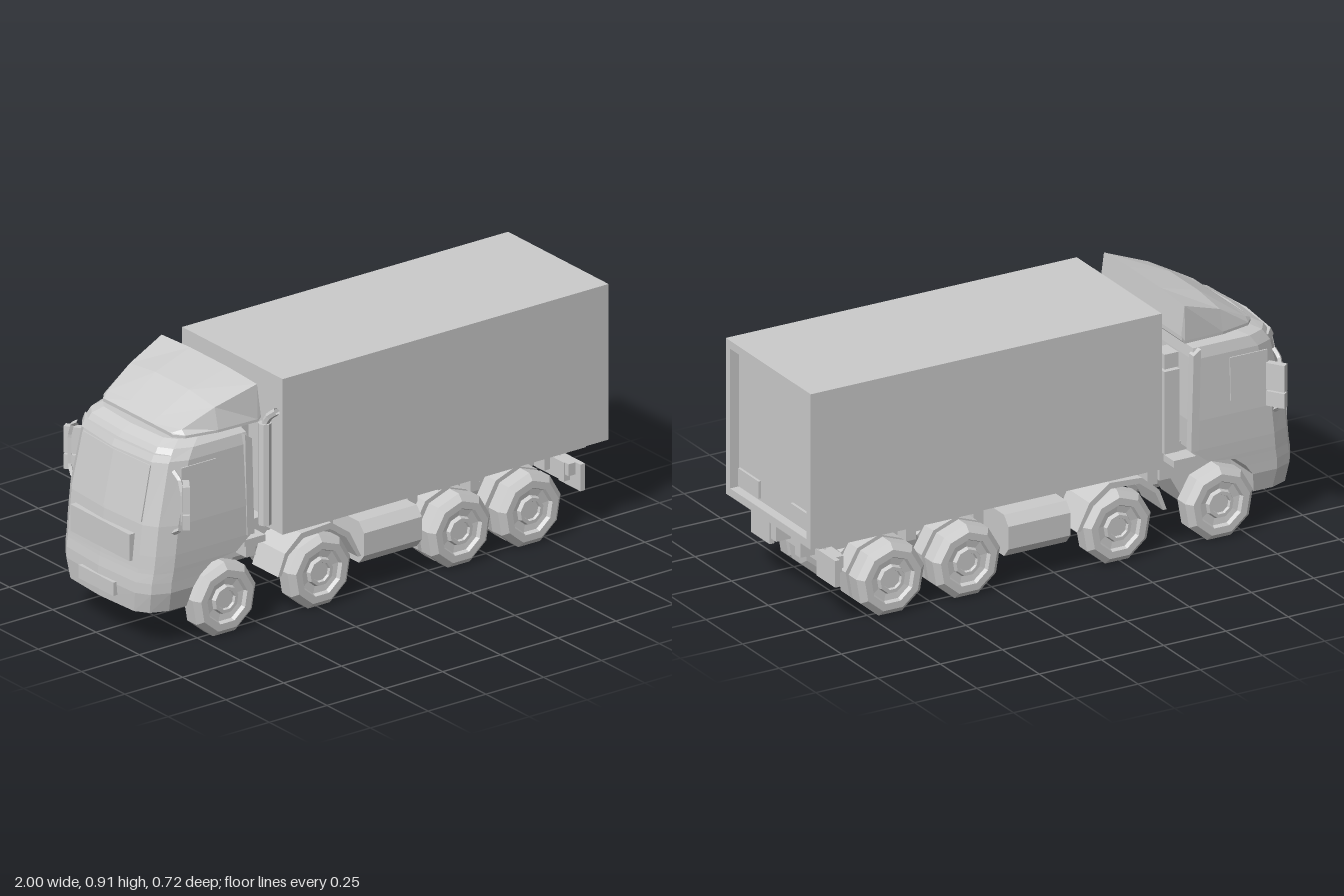
import * as THREE from 'three';

const mat = new THREE.MeshStandardMaterial({ color: 0xcccccc, flatShading: true });
const matTwo = new THREE.MeshStandardMaterial({ color: 0xcccccc, flatShading: true, side: THREE.DoubleSide });

// Closed solid through rings of [x, y, z] corners, turned outward by its signed volume.
function loft(rings) {
  const tris = [], n = rings[0].length;
  const v = rings.map(r => r.map(p => new THREE.Vector3(...p)));
  for (let i = 0; i + 1 < v.length; i++) {
    for (let j = 0; j < n; j++) {
      const k = (j + 1) % n;
      tris.push([v[i][j], v[i][k], v[i + 1][k]], [v[i][j], v[i + 1][k], v[i + 1][j]]);
    }
  }
  const cap = (ring, flip) => {
    const c = ring.reduce((s, p) => s.add(p), new THREE.Vector3()).divideScalar(n);
    ring.forEach((p, j) => {
      const q = ring[(j + 1) % n];
      tris.push(flip ? [c, q, p] : [c, p, q]);
    });
  };
  cap(v[0], true);
  cap(v[v.length - 1], false);
  const vol = tris.reduce((s, [a, b, c]) => s + a.dot(b.clone().cross(c)), 0);
  const pts = tris.flatMap(([a, b, c]) => (vol < 0 ? [a, c, b] : [a, b, c]));
  const g = new THREE.BufferGeometry().setFromPoints(pts);
  g.computeVertexNormals();
  return g;
}

// Profile of [x, y] corners swept from z0 to z1.
const sweepZ = (pts, z0, z1) => loft([z0, z1].map(z => pts.map(([x, y]) => [x, y, z])));
// Profile of [z, y] corners swept from x0 to x1.
const sweepX = (pts, x0, x1) => loft([x0, x1].map(x => pts.map(([z, y]) => [x, y, z])));

export function createModel() {
  const model = new THREE.Group();
  const add = (name, geo, parent = model, material = mat) => {
    const m = new THREE.Mesh(geo, material);
    m.name = name;
    parent.add(m);
    return m;
  };
  const box = (name, x0, x1, y0, y1, z0, z1, parent = model) => {
    const m = add(name, new THREE.BoxGeometry(x1 - x0, y1 - y0, z1 - z0), parent);
    m.position.set((x0 + x1) / 2, (y0 + y1) / 2, (z0 + z1) / 2);
    return m;
  };
  const pairBox = (name, x0, x1, y0, y1, z0, z1) => {
    box(name, x0, x1, y0, y1, z0, z1);
    box(name, x0, x1, y0, y1, -z1, -z0);
  };

  // Cab shell: height, front x, half width, back x; the lower back edge follows the wheel arch
  const layers = [
    [0.135, -0.985, 0.255, -0.8], [0.21, -0.992, 0.275, -0.785], [0.25, -0.99, 0.277, -0.755],
    [0.285, -0.984, 0.279, -0.71], [0.3, -0.982, 0.28, -0.6], [0.35, -0.977, 0.282, -0.54],
    [0.46, -0.965, 0.283, -0.535], [0.69, -0.915, 0.275, -0.545], [0.73, -0.888, 0.265, -0.55],
    [0.75, -0.85, 0.24, -0.56],
  ];
  add('cab', loft(layers.map(([y, f, w, b]) => {
    const half = [[f + 0.012, 0.72 * w], [f + 0.045, 0.9 * w], [f + 0.11, w], [b, w]];
    return [[f, y, 0], ...half.map(([x, z]) => [x, y, z]),
      ...half.reverse().map(([x, z]) => [x, y, -z])];
  })));

  // Windscreen, visor, grille and bumper plate
  add('windscreen', loft([[0.47, -0.963, 0.2], [0.67, -0.919, 0.195]].map(([y, f, w]) =>
    [[f - 0.005, y, 0], [f + 0.007, y, w], [f + 0.03, y, w], [f + 0.03, y, -w], [f + 0.007, y, -w]])));
  add('sunVisor', loft([[0.685, -0.932], [0.71, -0.92]].map(([y, f]) =>
    [[f, y, 0], [f + 0.02, y, 0.2], [f + 0.06, y, 0.25], [f + 0.06, y, -0.25], [f + 0.02, y, -0.2]])));
  box('grille', -0.983, -0.95, 0.32, 0.42, -0.17, 0.17);
  box('bumperPlate', -1, -0.95, 0.17, 0.22, -0.1, 0.1);
  for (const s of [-1, 1]) {
    const w = box('sideWindow', -0.84, -0.69, 0.51, 0.67, s * 0.28 - 0.003, s * 0.28 + 0.003);
    w.rotation.x = -s * 0.035;
    add('rearPillar', sweepZ([[-0.56, 0.35], [-0.53, 0.35], [-0.54, 0.71], [-0.57, 0.73]],
      s * 0.255, s * 0.287));
  }

  // Mirrors on bent arms
  for (const s of [-1, 1]) {
    const mirror = new THREE.Group();
    mirror.name = 'mirror';
    model.add(mirror);
    const arm = [[0.665, 0.275], [0.645, 0.31], [0.6, 0.325], [0.49, 0.325], [0.455, 0.31], [0.435, 0.275]];
    const path = new THREE.CurvePath();
    const p = arm.map(([y, z]) => new THREE.Vector3(-0.87, y, s * z));
    for (let i = 0; i < 5; i++) path.add(new THREE.LineCurve3(p[i], p[i + 1]));
    add('mirrorArm', new THREE.TubeGeometry(path, 20, 0.009, 4), mirror);
    for (const [y, h] of [[0.58, 0.1], [0.497, 0.055]]) {
      const m = add('mirrorHousing', new THREE.BoxGeometry(0.026, h, 0.07), mirror);
      m.position.set(-0.853, y, s * 0.322);
      m.rotation.y = -s * 0.6;
    }
  }

  // Roof deflector: x, top at centre, top at sides, half width at top, half width at base, base height
  add('roofDeflector', loft([
    [-0.82, 0.768, 0.768, 0.19, 0.2, 0.755], [-0.79, 0.79, 0.782, 0.215, 0.235, 0.755],
    [-0.67, 0.862, 0.845, 0.245, 0.265, 0.757], [-0.51, 0.91, 0.902, 0.275, 0.28, 0.762],
    [-0.497, 0.79, 0.79, 0.275, 0.28, 0.775],
  ].map(([x, yc, ys, wt, wb, y0]) =>
    [[x, y0, -wb], [x, y0 + 0.01, -wb], [x, ys, -wt], [x, yc, -wt * 0.4], [x, yc, wt * 0.4],
      [x, ys, wt], [x, y0 + 0.01, wb], [x, y0, wb]])));
  box('deflectorMount', -0.74, -0.56, 0.74, 0.765, -0.2, 0.2);

  // Exhaust, air intake and cooler between cab and body
  const stack = add('exhaustStack', new THREE.CylinderGeometry(0.024, 0.024, 0.38, 8));
  stack.position.set(-0.45, 0.54, 0.24);
  const tip = new THREE.CatmullRomCurve3([[-0.45, 0.72, 0.24], [-0.445, 0.755, 0.255], [-0.435, 0.785, 0.29]]
    .map(p => new THREE.Vector3(...p)));
  add('exhaustTip', new THREE.TubeGeometry(tip, 4, 0.014, 6), model, matTwo);
  box('airIntake', -0.49, -0.43, 0.36, 0.67, -0.275, -0.205);
  box('airIntakeHead', -0.485, -0.43, 0.68, 0.735, -0.275, -0.2);
  box('airFilter', -0.49, -0.435, 0.36, 0.6, -0.185, -0.12);
  box('cooler', -0.515, -0.48, 0.35, 0.73, -0.09, 0.09);
  box('coolerFrame', -0.445, -0.415, 0.35, 0.7, -0.1, 0.1);
  box('cabMount', -0.57, -0.42, 0.28, 0.36, -0.2, 0.2);

  // Cargo body with recessed rear door
  box('cargoBody', -0.41, 0.965, 0.315, 0.9, -0.29, 0.29);
  const frame = new THREE.Shape([[-0.29, 0.315], [0.29, 0.315], [0.29, 0.9], [-0.29, 0.9]]
    .map(p => new THREE.Vector2(...p)));
  frame.holes.push(new THREE.Path([[-0.26, 0.345], [-0.26, 0.87], [0.26, 0.87], [0.26, 0.345]]
    .map(p => new THREE.Vector2(...p))));
  const rear = add('rearFrame', new THREE.ExtrudeGeometry(frame, { depth: 0.035, bevelEnabled: false }));
  rear.rotation.y = Math.PI / 2;
  rear.position.x = 0.965;
  pairBox('doorStep', 0.96, 0.975, 0.355, 0.42, 0.11, 0.25);

  // Chassis
  pairBox('chassisRail', -0.85, 0.93, 0.2, 0.275, 0.065, 0.1);
  box('bodySubframe', -0.41, 0.94, 0.275, 0.316, -0.15, 0.15);
  box('rearSubframe', 0.3, 0.94, 0.285, 0.316, -0.24, 0.24);
  for (const x of [-0.45, 0, 0.25, 0.52, 0.84]) {
    box('crossMember', x - 0.02, x + 0.02, 0.2, 0.27, -0.16, 0.16);
  }
  box('rearBeam', 0.845, 0.87, 0.18, 0.25, -0.24, 0.24);
  pairBox('rearLampPanel', 0.88, 0.9, 0.15, 0.25, 0.16, 0.287);
  pairBox('rearLampBracket', 0.85, 0.885, 0.205, 0.25, 0.18, 0.26);
  box('engine', -0.82, -0.5, 0.19, 0.31, -0.12, 0.12);

  // Side tanks with bevelled edges
  add('tank', sweepX([[-0.25, 0.105], [0.25, 0.105], [0.28, 0.14], [0.28, 0.225], [0.25, 0.26],
    [-0.25, 0.26], [-0.28, 0.225], [-0.28, 0.14]], -0.05, 0.2));

  // Wheel arches: outer and inner edge of a bent strip
  const outer = [[-0.43, 0.16], [-0.4, 0.24], [-0.33, 0.3], [-0.2, 0.308], [-0.12, 0.25], [-0.07, 0.15]];
  const inner = [[-0.085, 0.15], [-0.135, 0.235], [-0.205, 0.285], [-0.32, 0.28], [-0.385, 0.23], [-0.415, 0.16]];
  const arch = new THREE.Shape([...outer, ...inner].map(p => new THREE.Vector2(...p)));
  for (const s of [-1, 1]) {
    const f = add('fender', new THREE.ExtrudeGeometry(arch, { depth: 0.15, bevelEnabled: false }));
    f.position.z = s > 0 ? 0.14 : -0.29;
  }
  pairBox('cabStep', -0.56, -0.47, 0.3, 0.325, 0.16, 0.27);

  // Nine-sided tyres with stepped rims, radius against distance from the inner side
  const tyre = [[0, 0], [0.115, 0], [0.138, 0.012], [0.138, 0.065], [0.115, 0.085],
    [0.088, 0.085], [0.082, 0.07], [0.055, 0.066], [0.05, 0.082], [0.037, 0.082], [0.034, 0.072], [0, 0.072]];
  const innerTyre = [[0, 0], [0.115, 0], [0.138, 0.01], [0.138, 0.07], [0, 0.07]];
  const wheelGeo = prof => {
    const g = new THREE.LatheGeometry(prof.map(p => new THREE.Vector2(...p)), 9);
    g.rotateX(Math.PI / 2);
    // Turn one corner straight up so a flat side meets the ground
    g.rotateZ(Math.PI);
    return g;
  };
  const outerGeo = wheelGeo(tyre), innerGeo = wheelGeo(innerTyre);
  const corner = new THREE.Vector3().fromBufferAttribute(outerGeo.attributes.position, 2);
  const turn = Math.PI / 2 - Math.atan2(corner.y, corner.x);
  outerGeo.rotateZ(turn);
  innerGeo.rotateZ(turn);
  [-0.65, -0.24, 0.365, 0.67].forEach((x, i) => {
    const axle = new THREE.Group();
    axle.name = 'axle';
    axle.position.set(x, 0.13, 0);
    model.add(axle);
    for (const s of [-1, 1]) {
      const side = new THREE.Group();
      side.rotation.y = s > 0 ? 0 : Math.PI;
      side.name = 'wheelSet';
      axle.add(side);
      add('wheel', outerGeo, side, matTwo).position.z = 0.207;
      if (i > 1) add('innerWheel', innerGeo, side, matTwo).position.z = 0.128;
    }
    box('axleBeam', -0.02, 0.02, -0.02, 0.02, -0.22, 0.22, axle);
    add('axleHousing', sweepZ([[-0.02, -0.075], [0.02, -0.075], [0.09, 0.05], [0.06, 0.075],
      [-0.06, 0.075], [-0.09, 0.05]], -0.088, 0.088), axle);
  });
  return model;
}
